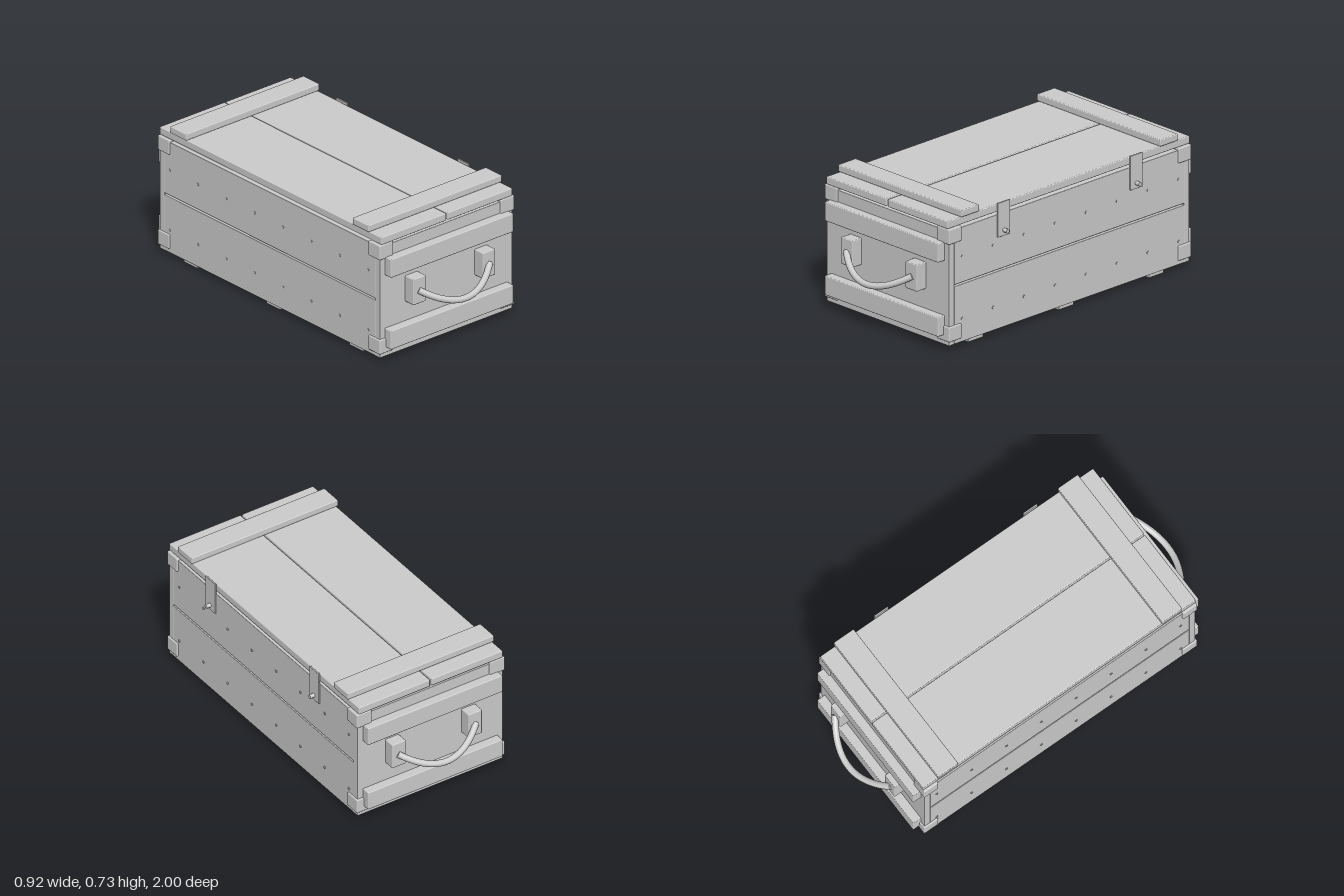
import * as THREE from 'three';
import { RoundedBoxGeometry } from 'three/addons/geometries/RoundedBoxGeometry.js';

const material = new THREE.MeshStandardMaterial({ color: 0xcccccc });

function add(parent, name, geometry) {
  const mesh = new THREE.Mesh(geometry, material);
  mesh.name = name;
  parent.add(mesh);
  return mesh;
}

// Softly bevelled board given by its minimum and maximum on each axis
function board(parent, name, [x0, x1], [y0, y1], [z0, z1], bevel = 0.005) {
  const mesh = add(parent, name, new RoundedBoxGeometry(x1 - x0, y1 - y0, z1 - z0, 2, bevel));
  mesh.position.set((x0 + x1) / 2, (y0 + y1) / 2, (z0 + z1) / 2);
  return mesh;
}

// Short round pin pointing along x
function pin(parent, name, radius, x0, x1, y, z) {
  const mesh = add(parent, name, new THREE.CylinderGeometry(radius, radius, Math.abs(x1 - x0), 16));
  mesh.rotation.z = Math.PI / 2;
  mesh.position.set((x0 + x1) / 2, y, z);
}

// One end of the crate, facing +z
function createEnd() {
  const end = new THREE.Group();
  end.name = 'crateEnd';
  board(end, 'endPanel', [-0.4365, 0.4365], [0.028, 0.64], [0.799, 0.835], 0.002);
  for (const y of [[0.08, 0.183], [0.476, 0.578]]) {
    board(end, 'endBatten', [-0.4045, 0.4045], y, [0.83, 0.882]);
  }
  for (const s of [-1, 1]) {
    const span = (a, b) => (s > 0 ? [a, b] : [-b, -a]);
    for (const y of [[0.05, 0.13], [0.571, 0.652]]) {
      board(end, 'cornerBracket', span(0.355, 0.445), y, [0.755, 0.843], 0.006);
    }
    board(end, 'handleMount', span(0.188, 0.27), [0.288, 0.431], [0.83, 0.898]);
  }

  // Drooping handle, tilted outwards
  const path = new THREE.QuadraticBezierCurve3(
    new THREE.Vector3(-0.235, 0.362, 0.895),
    new THREE.Vector3(0, 0.192, 1.073),
    new THREE.Vector3(0.235, 0.362, 0.895)
  );
  add(end, 'handle', new THREE.TubeGeometry(path, 32, 0.017, 16));
  for (const t of [0, 1]) {
    const cap = add(end, 'handleCap', new THREE.CircleGeometry(0.017, 16));
    const p = path.getPoint(t);
    cap.position.copy(p);
    cap.lookAt(p.clone().addScaledVector(path.getTangent(t), t ? 1 : -1));
  }
  return end;
}

export function createModel() {
  const model = new THREE.Group();
  model.name = 'crate';
  const crate = new THREE.Group();
  crate.name = 'crateBody';
  crate.position.x = -0.0125;
  model.add(crate);

  // Both ends
  const front = createEnd();
  const back = createEnd();
  back.rotation.y = Math.PI;
  crate.add(front, back);

  // Floor and skids
  board(crate, 'floor', [-0.402, 0.402], [0.028, 0.064], [-0.8, 0.8], 0.002);
  for (const z of [-0.628, 0, 0.628]) {
    board(crate, 'skid', [-0.4145, 0.4145], [0, 0.03], [z - 0.052, z + 0.052], 0.004);
  }

  for (const s of [-1, 1]) {
    const span = (a, b) => (s > 0 ? [a, b] : [-b, -a]);
    // Side planks with a narrow gap between them, and their nails
    board(crate, 'sidePlank', span(0.4, 0.4365), [0.028, 0.336], [-0.8, 0.8], 0.003);
    board(crate, 'sidePlank', span(0.4, 0.4365), [0.345, 0.64], [-0.8, 0.8], 0.003);
    for (const y of [0.152, 0.484]) {
      for (let i = 0; i < 8; i++) {
        pin(crate, 'nail', 0.007, s * 0.43, s * 0.4405, y, -0.76 + i * 0.215);
      }
    }
    // Lid planks
    board(crate, 'lidPlank', span(0.0045, 0.4325), [0.653, 0.694], [-0.842, 0.842]);
    // Lid battens
    const z = s > 0 ? [0.63, 0.753] : [-0.753, -0.63];
    board(crate, 'lidBatten', [-0.4405, 0.4405], [0.694, 0.731], z);
    // Hasps with locking pins, on the left side only
    board(crate, 'hasp', [0.4355, 0.4445], [0.519, 0.702], [s * 0.46 - 0.042, s * 0.46 + 0.042], 0.002);
    pin(crate, 'haspPin', 0.011, 0.44, 0.471, 0.549, s * 0.46);
  }
  return model;
}
